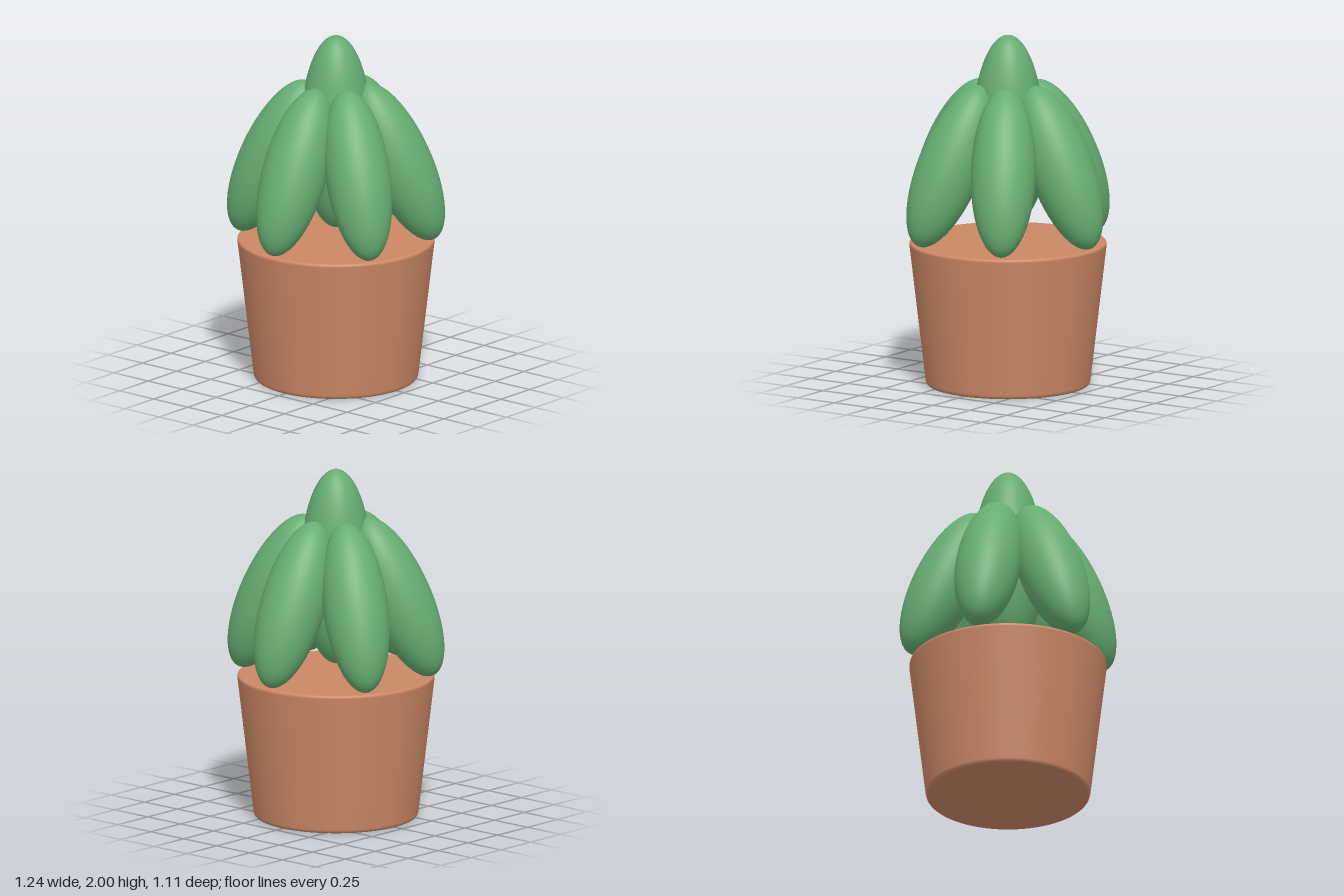
import * as THREE from 'three';

export function createModel() {
  const group = new THREE.Group();
  const clay = new THREE.MeshStandardMaterial({ color: 0xcc8866 });
  const green = new THREE.MeshStandardMaterial({ color: 0x66ad72 });

  // Tapered pot, solid, with softly rounded rims
  const profile = new THREE.Path();
  profile.moveTo(0, 0);
  profile.lineTo(0.44, 0);
  profile.quadraticCurveTo(0.461, 0, 0.464, 0.025);
  profile.lineTo(0.555, 0.8);
  profile.quadraticCurveTo(0.557, 0.82, 0.538, 0.82);
  profile.lineTo(0, 0.82);
  const pot = new THREE.Mesh(new THREE.LatheGeometry(profile.getPoints(8), 64), clay);
  pot.name = 'pot';
  group.add(pot);

  // Every plant part is a stretched sphere
  const ball = new THREE.SphereGeometry(1, 48, 32);
  const lobe = (name, radius, halfLength) => {
    const mesh = new THREE.Mesh(ball, green);
    mesh.name = name;
    mesh.scale.set(radius, halfLength, radius);
    return mesh;
  };

  // Upright central stem
  const stem = lobe('stem', 0.2, 0.56);
  stem.position.y = 1.44;
  group.add(stem);

  // Ring of six leaves, lower ends leaning outwards
  for (let i = 0; i < 6; i++) {
    const pivot = new THREE.Group();
    pivot.name = `leaf${i + 1}`;
    pivot.rotation.y = (i * Math.PI) / 3;
    const leaf = lobe('leafBlade', 0.183, 0.487);
    leaf.position.set(0.36, 1.28, 0);
    leaf.rotation.z = THREE.MathUtils.degToRad(24.3);
    pivot.add(leaf);
    group.add(pivot);
  }

  return group;
}
